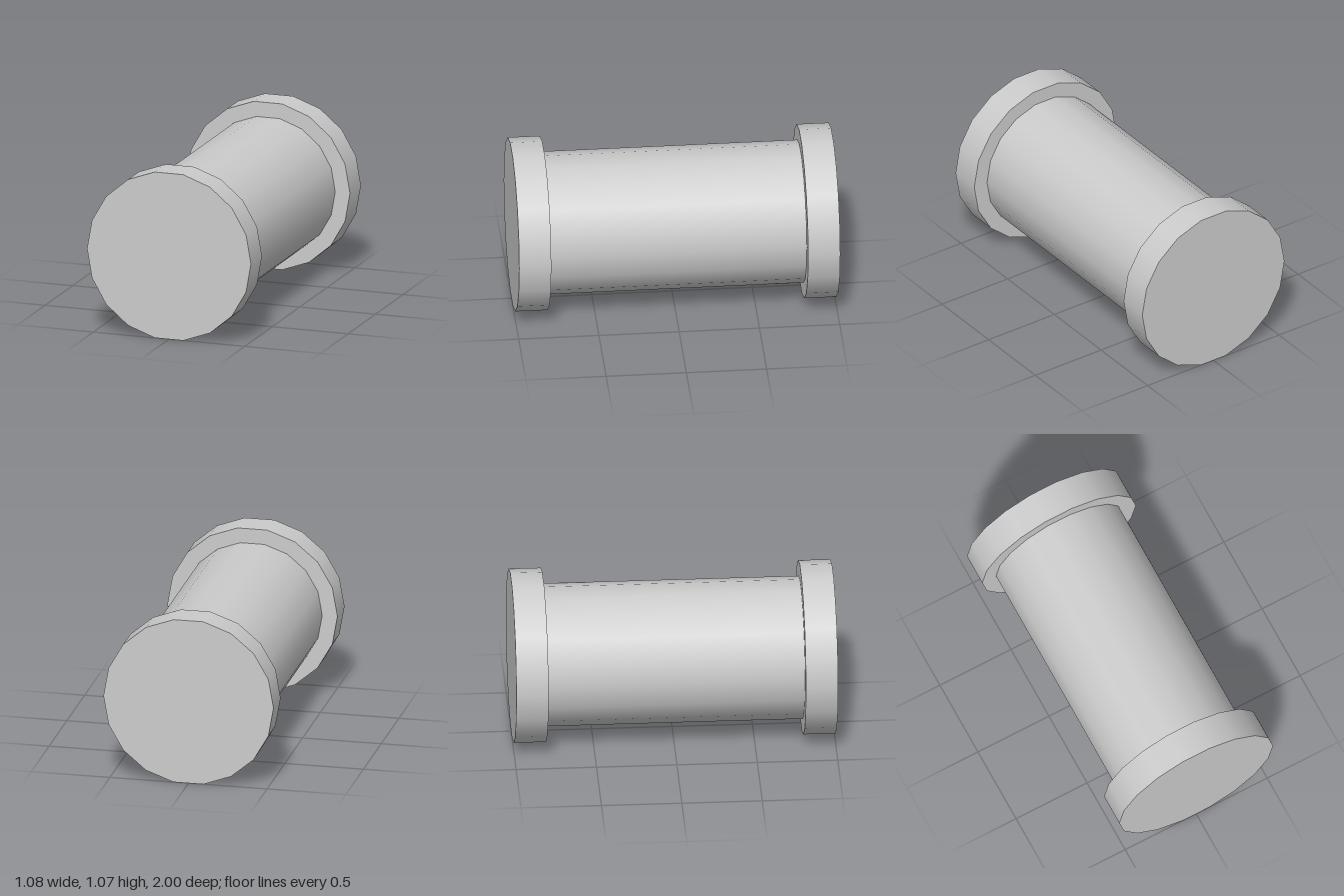
import * as THREE from 'three';

const SIDES = 18;
const RIM_RADIUS = 0.541;
const BODY_RADIUS = 0.444;
const RIM_WIDTH = 0.2;
const LENGTH = 2;
// Height of the axis, so that the flat lower sides rest on y = 0
const AXIS_Y = RIM_RADIUS * Math.cos(Math.PI / SIDES);

export function createModel() {
  const group = new THREE.Group();
  group.name = 'flangedRoller';
  const material = new THREE.MeshStandardMaterial({ color: 0xcccccc });

  // Cylinder along z, with corners at its left and right extremes
  function addDrum(name, radius, length, z, open) {
    const geometry = new THREE.CylinderGeometry(radius, radius, length, SIDES, 1, open, Math.PI / 2);
    geometry.rotateX(Math.PI / 2);
    const mesh = new THREE.Mesh(geometry, material);
    mesh.name = name;
    mesh.position.set(0, AXIS_Y, z);
    group.add(mesh);
  }

  // Central barrel, closed off by the end rims
  addDrum('barrel', BODY_RADIUS, LENGTH - 2 * RIM_WIDTH, 0, true);

  // Wider rim at each end
  const rimZ = (LENGTH - RIM_WIDTH) / 2;
  addDrum('frontRim', RIM_RADIUS, RIM_WIDTH, rimZ, false);
  addDrum('backRim', RIM_RADIUS, RIM_WIDTH, -rimZ, false);

  return group;
}
